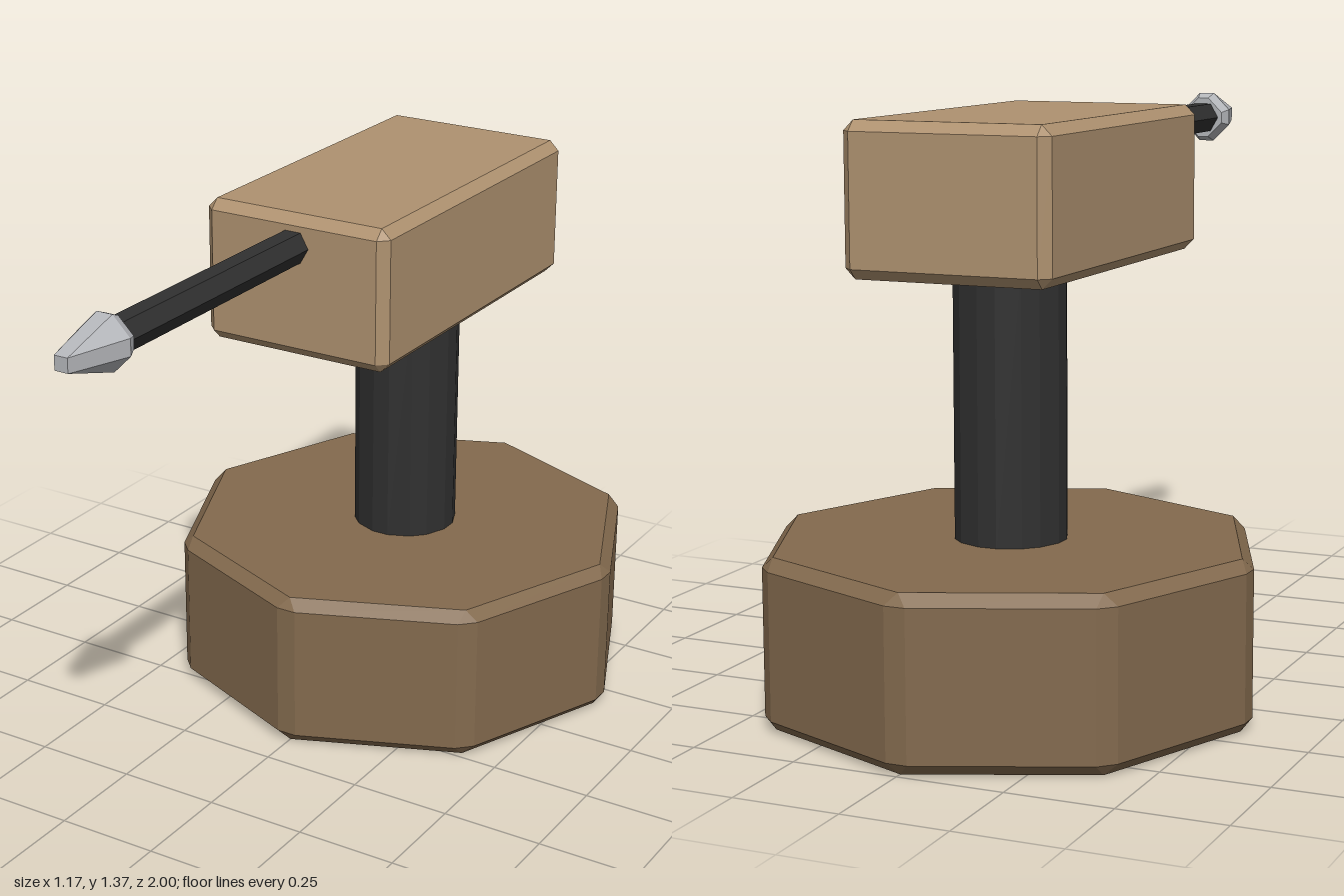
import * as THREE from 'three';

const mat = (name, color) => {
  const m = new THREE.MeshStandardMaterial({ color, flatShading: true });
  m.name = name;
  return m;
};

// Faceted solid along +z from rings {z, pts} of equal length (counterclockwise), capped at both ends
function loft(rings) {
  const pos = [];
  const tri = (a, b, c) => {
    const area = b.clone().sub(a).cross(c.clone().sub(a)).length();
    if (area > 1e-8) for (const p of [a, b, c]) pos.push(p.x, p.y, p.z);
  };
  const loops = rings.map(({ z, pts }) => pts.map((p) => new THREE.Vector3(p.x, p.y, z)));
  const n = loops[0].length;
  const first = loops[0], last = loops[loops.length - 1];
  for (let k = 0; k < loops.length - 1; k++) {
    for (let i = 0; i < n; i++) {
      const j = (i + 1) % n, lo = loops[k], hi = loops[k + 1];
      tri(lo[i], lo[j], hi[j]);
      tri(lo[i], hi[j], hi[i]);
    }
  }
  for (let i = 1; i < n - 1; i++) {
    tri(first[0], first[i + 1], first[i]);
    tri(last[0], last[i], last[i + 1]);
  }
  const g = new THREE.BufferGeometry();
  g.setAttribute('position', new THREE.Float32BufferAttribute(pos, 3));
  g.computeVertexNormals();
  return g;
}

// Upright prism with every edge bevelled
function bevelledPrism(poly, y0, y1, bevel) {
  const side = [], cap = [];
  poly.forEach((p, i) => {
    const a = poly[(i + poly.length - 1) % poly.length].clone().sub(p).normalize();
    const b = poly[(i + 1) % poly.length].clone().sub(p).normalize();
    side.push(p.clone().addScaledVector(a, bevel), p.clone().addScaledVector(b, bevel));
    const inset = p.clone().addScaledVector(a.clone().add(b), bevel / Math.abs(a.cross(b)));
    cap.push(inset, inset);
  });
  return loft([
    { z: y0, pts: cap }, { z: y0 + bevel, pts: side },
    { z: y1 - bevel, pts: side }, { z: y1, pts: cap },
  ]).rotateX(-Math.PI / 2);
}

const ngon = (n, r) => Array.from({ length: n }, (_, i) => {
  const t = (i / n) * Math.PI * 2;
  return new THREE.Vector2(r * Math.cos(t), r * Math.sin(t));
});

// Diamond with its four corners cut flat: reach r, half width w of each cut
const cutDiamond = (r, w) => [[r, -w], [r, w], [w, r], [-w, r], [-r, w], [-r, -w], [-w, -r], [w, -r]]
  .map(([x, y]) => new THREE.Vector2(x, y));

export function createModel() {
  const group = new THREE.Group();
  const darkWood = mat('dark wood', 0x836a4e);
  const lightWood = mat('light wood', 0xaf9270);
  const blackIron = mat('black iron', 0x303030);
  const steel = mat('steel', 0xb4b6ba);
  const add = (name, geometry, material, x, y, z) => {
    const mesh = new THREE.Mesh(geometry, material);
    mesh.name = name;
    mesh.position.set(x, y, z);
    group.add(mesh);
  };

  // Octagonal base and post
  add('base', bevelledPrism(ngon(8, 0.593), 0, 0.397, 0.027), darkWood, 0, 0, -0.418);
  add('post', bevelledPrism(ngon(8, 0.139), 0.36, 1.05, 0.024), blackIron, 0, 0, -0.418);

  // Block head
  const block = [[-0.247, -0.443], [0.247, -0.443], [0.247, 0.443], [-0.247, 0.443]]
    .map(([x, y]) => new THREE.Vector2(x, y));
  add('head', bevelledPrism(block, 1.018, 1.365, 0.024), lightWood, 0, 0, -0.318);

  // Hexagonal shaft with a faceted point
  const hex = ngon(6, 0.042);
  add('shaft', loft([{ z: 0.08, pts: hex }, { z: 0.84, pts: hex }]), blackIron, 0, 1.29, 0);
  add('point', loft([
    { z: 0.82, pts: cutDiamond(0.052, 0.014) },
    { z: 0.848, pts: cutDiamond(0.064, 0.02) },
    { z: 1, pts: cutDiamond(0.017, 0.017) },
  ]), steel, 0, 1.29, 0);

  return group;
}
